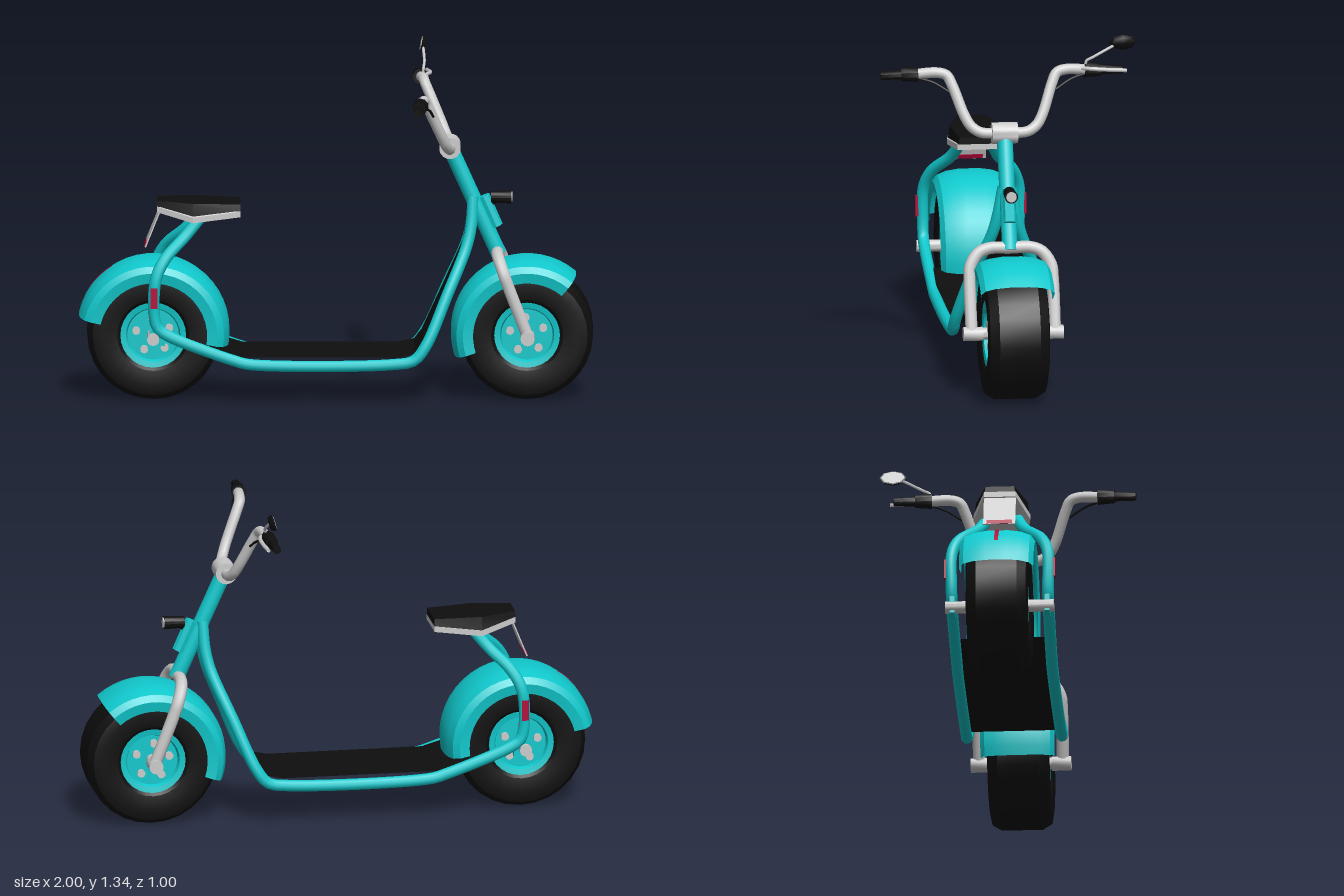
import * as THREE from 'three';
import { toCreasedNormals } from 'three/addons/utils/BufferGeometryUtils.js';

const mat = (color) => new THREE.MeshStandardMaterial({ color, side: THREE.DoubleSide });
const teal = mat(0x10c8cc), black = mat(0x0e0e0e), grey = mat(0xcccccc), red = mat(0xb00838);
const V = (p) => new THREE.Vector3(...p);

export function createModel() {
  const model = new THREE.Group();
  const body = new THREE.Group();
  body.name = 'scooter';
  body.position.z = 0.028;
  model.add(body);

  const add = (name, geo, material, pos = [0, 0, 0], parent = body) => {
    const mesh = new THREE.Mesh(geo, material);
    mesh.name = name;
    mesh.position.set(...pos);
    parent.add(mesh);
    return mesh;
  };
  const tube = (name, pts, r, material, sides = 10) =>
    add(name, new THREE.TubeGeometry(new THREE.CatmullRomCurve3(pts.map(V), false, 'centripetal'), pts.length * 6, r, sides), material);
  // cylinder between two points
  const rod = (name, a, b, ra, rb, material, sides = 16, parent = body) => {
    const d = V(b).sub(V(a));
    const m = add(name, toCreasedNormals(new THREE.CylinderGeometry(rb, ra, d.length(), sides), 0.7), material,
      V(a).add(V(b)).multiplyScalar(0.5).toArray(), parent);
    m.quaternion.setFromUnitVectors(new THREE.Vector3(0, 1, 0), d.normalize());
    return m;
  };
  // surface of revolution about the z axis, profile in [radius, z], optional arc in degrees from +x
  const spin = (profile, seg, from = 0, to = 360) => {
    const g = new THREE.LatheGeometry(profile.map((p) => new THREE.Vector2(...p)), seg,
      THREE.MathUtils.degToRad(from + 90), THREE.MathUtils.degToRad(to - from));
    return toCreasedNormals(g.rotateX(Math.PI / 2), 0.5);
  };

  // Wheels
  const tire = [[0.125, -0.1], [0.14, -0.114], [0.2, -0.122], [0.236, -0.115], [0.257, -0.08],
    [0.257, 0.08], [0.236, 0.115], [0.2, 0.122], [0.14, 0.114], [0.125, 0.1]];
  const rim = [[0, -0.085], [0.1, -0.085], [0.106, -0.104], [0.128, -0.108],
    [0.128, 0.108], [0.106, 0.104], [0.1, 0.085], [0, 0.085]];
  const wheel = (name, x, axle) => {
    const w = new THREE.Group();
    w.name = name;
    w.position.set(x, 0.257, 0);
    body.add(w);
    add('tire', spin(tire, 28), black, [0, 0, 0], w);
    add('rim', spin(rim, 28), teal, [0, 0, 0], w);
    rod('axle', [0, 0, -axle], [0, 0, axle], 0.024, 0.024, grey, 14, w);
    for (let i = 0; i < 5; i++) {
      const a = 0.4 + (i * Math.PI * 2) / 5, bx = Math.cos(a) * 0.068, by = Math.sin(a) * 0.068;
      rod('wheelBolt', [bx, by, -0.097], [bx, by, 0.097], 0.016, 0.016, grey, 10, w);
    }
  };
  wheel('frontWheel', 0.74, 0.195);
  wheel('rearWheel', -0.715, 0.212);

  // Fenders
  const fender = [[0.21, -0.138], [0.25, -0.145], [0.275, -0.128], [0.29, -0.09], [0.297, -0.04],
    [0.297, 0.04], [0.29, 0.09], [0.275, 0.128], [0.25, 0.145], [0.21, 0.138]];
  add('frontFender', spin(fender, 20, 50, 198), teal, [0.74, 0.257, 0]);
  add('rearFender', spin(fender, 22, -9, 167), teal, [-0.715, 0.257, 0]);
  add('fenderReflector', spin([[0.302, -0.008], [0.302, 0.008]], 5, 122, 146), red, [-0.715, 0.257, 0]);

  for (const s of [1, -1]) {
    // Side rail: seat post, rear bend, floor and riser in one run
    tube('frameRail', [[-0.53, 0.715, 0.06 * s], [-0.59, 0.645, 0.09 * s], [-0.67, 0.565, 0.16 * s], [-0.705, 0.49, 0.187 * s],
      [-0.71, 0.34, 0.188 * s], [-0.695, 0.295, 0.188 * s], [-0.65, 0.265, 0.188 * s], [-0.4, 0.17, 0.185 * s],
      [-0.34, 0.155, 0.185 * s], [0.22, 0.155, 0.185 * s], [0.3, 0.17, 0.185 * s], [0.345, 0.225, 0.18 * s],
      [0.43, 0.42, 0.125 * s], [0.505, 0.6, 0.055 * s], [0.523, 0.68, 0.035 * s], [0.53, 0.79, 0.015 * s]], 0.023, teal);
    add('axlePlate', new THREE.BoxGeometry(0.06, 0.07, 0.02), teal, [-0.7, 0.265, 0.185 * s]);
    add('sideReflector', new THREE.BoxGeometry(0.026, 0.08, 0.012), red, [-0.712, 0.42, 0.211 * s]);
    // Fork leg and its foot
    tube('forkLeg', [[0.625, 0.57, 0], [0.625, 0.57, 0.08 * s], [0.632, 0.553, 0.125 * s], [0.65, 0.505, 0.158 * s],
      [0.67, 0.45, 0.163 * s], [0.745, 0.255, 0.163 * s]], 0.024, grey);
    rod('forkFoot', [0.742, 0.257, 0.12 * s], [0.742, 0.257, 0.196 * s], 0.028, 0.028, grey, 12);
    // Half of the handlebar with grip
    tube('handlebar', [[0.44, 0.985, 0], [0.438, 0.988, 0.09 * s], [0.425, 1.01, 0.128 * s], [0.408, 1.05, 0.153 * s],
      [0.36, 1.16, 0.195 * s], [0.343, 1.197, 0.215 * s], [0.337, 1.208, 0.25 * s], [0.325, 1.2, 0.35 * s]], 0.021, grey);
    rod('gripHousing', [0.326, 1.202, 0.325 * s], [0.32, 1.2, 0.39 * s], 0.031, 0.026, black, 10);
    rod('grip', [0.32, 1.2, 0.38 * s], [0.314, 1.196, 0.472 * s], 0.019, 0.017, black, 10);
    tube('cable', [[0.34, 1.19, 0.33 * s], [0.36, 1.175, 0.27 * s], [0.375, 1.14, 0.21 * s]], 0.005, black, 6);
  }

  // Floor and leg panel between the rails, stations of [x, y, half width]
  const stations = [[-0.5, 0.222, 0.175], [-0.37, 0.182, 0.175], [0.24, 0.182, 0.175], [0.3, 0.195, 0.175],
    [0.33, 0.235, 0.17], [0.415, 0.43, 0.12], [0.49, 0.61, 0.05], [0.505, 0.7, 0.025]];
  const panel = new THREE.PlaneGeometry(2, 1, 1, stations.length - 1);
  const pp = panel.attributes.position;
  for (let i = 0; i < pp.count; i++) {
    const [x, y, w] = stations[i >> 1];
    pp.setXYZ(i, x, y, w * pp.getX(i));
  }
  add('footPanel', toCreasedNormals(panel, 0.5), black);

  // Steering column, head block and lamp
  rod('steeringColumn', [0.63, 0.56, 0], [0.445, 0.97, 0], 0.031, 0.031, teal);
  rod('headBlock', [0.622, 0.67, 0], [0.57, 0.79, 0], 0.025, 0.025, teal, 8);
  rod('barClamp', [0.44, 0.985, -0.05], [0.44, 0.985, 0.05], 0.042, 0.042, grey, 18);
  rod('lampBracket', [0.58, 0.75, 0], [0.63, 0.78, 0], 0.012, 0.012, black, 8);
  rod('lamp', [0.6, 0.785, 0], [0.68, 0.785, 0], 0.023, 0.026, black);
  rod('lampLens', [0.675, 0.785, 0], [0.684, 0.785, 0], 0.022, 0.02, grey);

  // Brake lever and mirror on one side
  tube('brakeLever', [[0.335, 1.21, -0.3], [0.36, 1.212, -0.35], [0.36, 1.206, -0.42], [0.35, 1.2, -0.488]], 0.008, grey, 6);
  tube('mirrorStalk', [[0.335, 1.21, -0.33], [0.337, 1.238, -0.332], [0.34, 1.255, -0.36], [0.335, 1.3, -0.445]], 0.006, grey, 6);
  const mirror = new THREE.Group();
  mirror.name = 'mirror';
  mirror.position.set(0.332, 1.307, -0.476);
  mirror.rotation.z = -0.2;
  mirror.scale.set(1, 0.032, 0.052);
  body.add(mirror);
  rod('mirrorShell', [-0.004, 0, 0], [0.012, 0, 0], 1, 0.8, black, 8, mirror);
  rod('mirrorGlass', [-0.006, 0, 0], [-0.004, 0, 0], 0.88, 0.88, grey, 8, mirror);

  // Seat: an outline extruded upward, its underside dipping in the middle
  const outline = new THREE.Shape([[-0.7, -0.06], [-0.56, -0.108], [-0.375, -0.088], [-0.375, 0.088],
    [-0.56, 0.108], [-0.7, 0.06]].map((p) => new THREE.Vector2(...p)));
  const dip = (x) => (x < -0.56 ? 0.71 + (-0.56 - x) * 0.25 : 0.71 + (x + 0.56) * 0.11);
  const seatPart = (rule) => {
    const g = new THREE.ExtrudeGeometry(outline, { depth: 1, bevelEnabled: false }).rotateX(-Math.PI / 2);
    const p = g.attributes.position;
    for (let i = 0; i < p.count; i++) {
      const [y, k] = rule(p.getX(i), p.getY(i) > 0.5);
      p.setY(i, y);
      p.setZ(i, p.getZ(i) * k);
    }
    return toCreasedNormals(g, 0.4);
  };
  add('seatPan', seatPart((x, up) => [dip(x) + (up ? 0.012 : -0.01), 1.03]), grey);
  add('seatCushion', seatPart((x, up) => (up ? [0.775 - 0.03 * (x + 0.56), 0.93] : [dip(x) + 0.012, 0.99])), black);

  // Rear plate hanging from the seat
  const plate = add('rearPlate', new THREE.BoxGeometry(0.005, 0.155, 0.125), grey, [-0.717, 0.668, 0]);
  plate.rotation.z = -0.38;
  const strip = add('plateReflector', new THREE.BoxGeometry(0.009, 0.018, 0.1), red, [-0.742, 0.606, 0]);
  strip.rotation.z = -0.38;

  return model;
}
